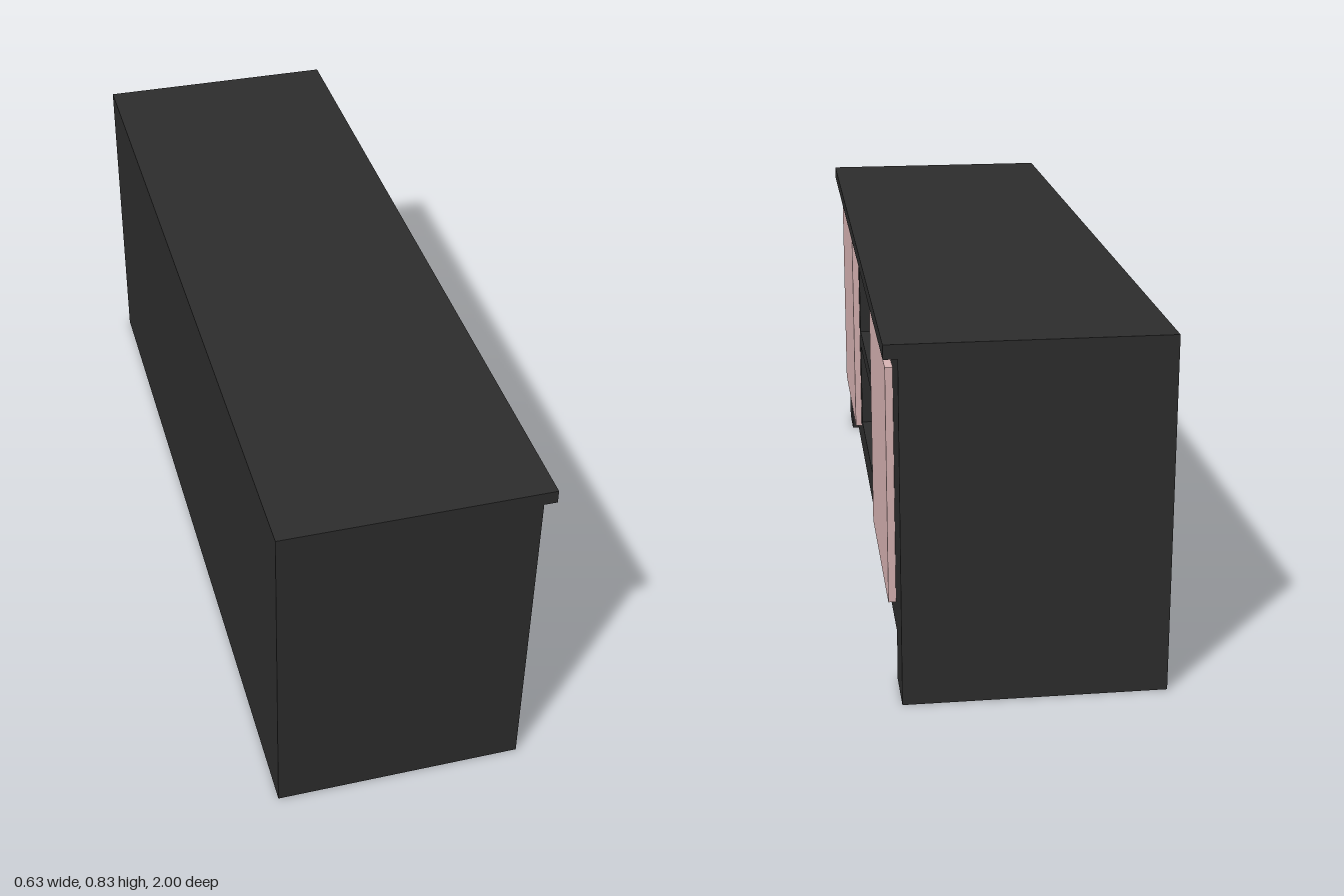
import * as THREE from 'three';

const BACK = -0.313, FRONT = 0.282, LIP = 0.313; // depth runs along x
const INNER = -0.22;                             // rear of both recesses
const UNDER = 0.795, TOP = 0.827;

// Strip of quads between two matching point paths
function strip(a, b) {
  const pos = [];
  for (let i = 0; i < a.length - 1; i++) {
    pos.push(...a[i], ...a[i + 1], ...b[i + 1], ...a[i], ...b[i + 1], ...b[i]);
  }
  const g = new THREE.BufferGeometry();
  g.setAttribute('position', new THREE.Float32BufferAttribute(pos, 3));
  g.computeVertexNormals();
  return g;
}

// Closed rectangle at depth x, half width w, from y0 to y1
const rect = (x, w, y0, y1) => [[x, y0, w], [x, y0, -w], [x, y1, -w], [x, y1, w], [x, y0, w]];

// U-shaped path, front to rear and back again
const uPath = (xr, wf, wr, yf, yr) => [[FRONT, yf, wf], [xr, yr, wr], [xr, yr, -wr], [FRONT, yf, -wf]];

export function createModel() {
  const group = new THREE.Group();
  const dark = new THREE.MeshStandardMaterial({ color: 0x2d2d2d });
  const pink = new THREE.MeshStandardMaterial({ color: 0xd9b5b5 });

  const add = (name, geometry, material = dark, parent = group) => {
    const mesh = new THREE.Mesh(geometry, material);
    mesh.name = name;
    parent.add(mesh);
    return mesh;
  };
  const box = (name, x0, x1, y0, y1, z0, z1, material) =>
    add(name, new THREE.BoxGeometry(x1 - x0, y1 - y0, z1 - z0), material)
      .position.set((x0 + x1) / 2, (y0 + y1) / 2, (z0 + z1) / 2);

  // Cabinet shell: outer walls and the underside of the plinth
  const cabinet = new THREE.Group();
  cabinet.name = 'cabinet';
  group.add(cabinet);
  add('outerWalls', strip(uPath(BACK, 1, 1, UNDER, UNDER), uPath(BACK, 1, 1, 0, 0)), dark, cabinet);
  const footEdge = uPath(INNER, 0.875, 0.847, 0, 0);
  add('plinthUnderside', strip(uPath(BACK, 1, 1, 0, 0), footEdge), dark, cabinet);

  // Front face with the foot cut-out and the cubby opening
  const face = new THREE.Shape([
    [-1, 0], [-0.875, 0], [-0.875, 0.12], [0.875, 0.12],
    [0.875, 0], [1, 0], [1, UNDER], [-1, UNDER],
  ].map(([u, v]) => new THREE.Vector2(u, v)));
  face.holes.push(new THREE.Path([
    [-0.328, 0.205], [-0.328, 0.71], [0.328, 0.71], [0.328, 0.205],
  ].map(([u, v]) => new THREE.Vector2(u, v))));
  add('frontFace', new THREE.ShapeGeometry(face).rotateY(Math.PI / 2).translate(FRONT, 0, 0), dark, cabinet);

  // Tapered recess under the cabinet
  const ceiling = uPath(INNER, 0.875, 0.847, 0.12, 0.092);
  add('plinthRecess', strip(footEdge, ceiling), dark, cabinet);
  add('plinthCeiling', strip([ceiling[0], ceiling[1]], [ceiling[3], ceiling[2]]), dark, cabinet);

  // Tapered open cubby with its back panel
  const mouth = rect(FRONT, 0.328, 0.205, 0.71);
  const rear = rect(INNER, 0.294, 0.237, 0.673);
  add('cubbyWalls', strip(mouth, rear), dark, cabinet);
  add('cubbyBack', strip([rear[0], rear[1]], [rear[3], rear[2]]), dark, cabinet);

  // Shelf and overhanging top
  box('shelf', INNER, FRONT, 0.435, 0.478, -0.328, 0.328, dark);
  box('top', BACK, LIP, UNDER, TOP, -1, 1, dark);

  // Pair of door panels
  for (const s of [-1, 1]) {
    const c = s * 0.611;
    box(s > 0 ? 'doorPositiveZ' : 'doorNegativeZ', FRONT, 0.299, 0.182, 0.734, c - 0.245, c + 0.245, pink);
  }
  return group;
}
